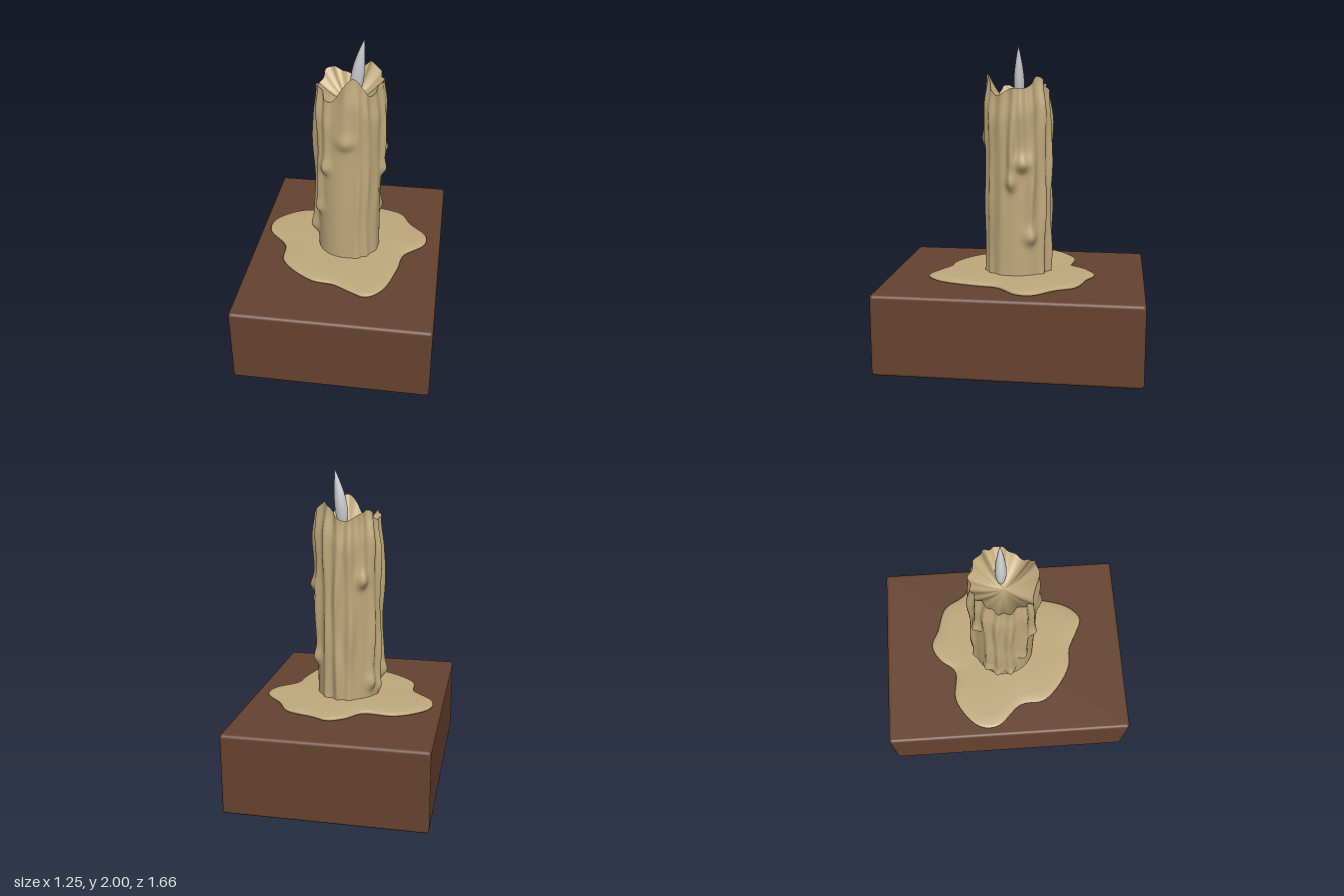
import * as THREE from 'three';
import { RoundedBoxGeometry } from 'three/addons/geometries/RoundedBoxGeometry.js';

const DEG = Math.PI / 180;
const { smoothstep, lerp } = THREE.MathUtils;

// Closed-ring surface: point(row, column) gives each vertex, rows run up or inward
function ringSurface(rows, cols, point) {
  const pos = [], index = [];
  for (let i = 0; i <= rows; i++)
    for (let j = 0; j < cols; j++) pos.push(...point(i, j));
  for (let i = 0; i < rows; i++)
    for (let j = 0; j < cols; j++) {
      const k = (j + 1) % cols;
      const a = i * cols + j, b = i * cols + k, c = a + cols, d = b + cols;
      index.push(a, b, d, a, d, c);
    }
  const g = new THREE.BufferGeometry();
  g.setAttribute('position', new THREE.Float32BufferAttribute(pos, 3));
  g.setIndex(index);
  g.computeVertexNormals();
  return g;
}

// Rim peaks and valleys: angle from the front towards +x, height
const RIM = [[-32, 1.66], [14, 1.825], [52, 1.69], [88, 1.74], [108, 1.74], [138, 1.81],
  [182, 1.7], [228, 1.765], [260, 1.69], [299, 1.745], [328, 1.66]];

function rimHeight(deg) {
  const a = deg > 328 ? deg - 360 : deg;
  for (let i = 0; i < RIM.length - 1; i++) {
    const [a0, y0] = RIM[i], [a1, y1] = RIM[i + 1];
    if (a <= a1) return lerp(y0, y1, smoothstep(a, a0, a1));
  }
  return 1.66;
}

// Wax runs: angle, height of the lower end, half width in degrees, thickness
const DRIPS = [
  [0, 1.38, 11, 0.022], [22, 0.4, 7, 0.018], [40, 0.4, 6, 0.016], [66, 0.4, 8, 0.01],
  [87, 1.12, 6, 0.036], [103, 1.24, 9, 0.04], [121, 0.77, 8, 0.034], [148, 0.4, 7, 0.03],
  [170, 0.4, 7, 0.035], [192, 0.4, 8, 0.032], [214, 1.3, 7, 0.03], [236, 0.62, 7, 0.03],
  [256, 0.58, 6, 0.03], [276, 0.66, 7, 0.036], [304, 0.86, 7, 0.03], [322, 1.18, 7, 0.026],
];

function waxRadius(deg, y, top) {
  let r = 0.203;
  for (const [a, end, w, amp] of DRIPS) {
    let d = ((deg - a + 540) % 360) - 180;
    d += 1.6 * Math.sin(y * 7 + a);
    const wide = w * (1 + 0.35 * Math.exp(-(((y - end - 0.04) / 0.07) ** 2)));
    const across = Math.exp(-((d / wide) ** 2));
    const run = smoothstep(y, end - 0.045, end + 0.03) * (0.72 + 0.2 * Math.sin(y * 11 + a));
    const bulb = 0.55 * Math.exp(-(((y - end - 0.03) / 0.055) ** 2));
    r += amp * across * (run + bulb);
  }
  // Thin towards the rim
  return r - 0.02 * smoothstep(y, top - 0.2, top);
}

const onCircle = (r, deg, y) => [0.008 + r * Math.sin(deg * DEG), y, r * Math.cos(deg * DEG)];

export function createModel() {
  const wax = new THREE.MeshStandardMaterial({ color: 0xc0a97c });
  wax.name = 'wax';
  const wood = new THREE.MeshStandardMaterial({ color: 0x65422e });
  wood.name = 'brown base';
  const pale = new THREE.MeshStandardMaterial({ color: 0xc9c9cc });
  pale.name = 'pale flame';

  const model = new THREE.Group();
  model.name = 'candle';
  const add = (name, geometry, material) => {
    const mesh = new THREE.Mesh(geometry, material);
    mesh.name = name;
    model.add(mesh);
    return mesh;
  };

  // Block base
  add('base', new RoundedBoxGeometry(1.25, 0.515, 1.66, 3, 0.022), wood).position.y = 0.2575;

  // Spilled wax puddle: one outline, shrunk ring by ring over a low dome
  const outline = [[-0.06, -0.455], [-0.15, -0.355], [-0.36, -0.357], [-0.55, -0.21], [-0.56, -0.08],
    [-0.42, 0.09], [-0.395, 0.26], [-0.18, 0.44], [-0.03, 0.465], [0.08, 0.52], [0.19, 0.56],
    [0.285, 0.48], [0.36, 0.25], [0.39, 0.09], [0.52, -0.05], [0.525, -0.15], [0.41, -0.28],
    [0.33, -0.405], [0.16, -0.465], [0.05, -0.51]];
  const curve = new THREE.CatmullRomCurve3(outline.map(([x, z]) => new THREE.Vector3(x, 0, z)), true);
  const edge = curve.getSpacedPoints(144);
  const dome = [[0.96, 0.514], [0.99, 0.519], [1, 0.527], [0.99, 0.534], [0.96, 0.54], [0.85, 0.545], [0.6, 0.549], [0, 0.552]];
  add('puddle', ringSurface(dome.length - 1, 144, (i, j) => [edge[j].x * dome[i][0], dome[i][1], edge[j].z * dome[i][0]]), wax);

  // Dripping candle body
  const COLS = 180, ROWS = 100, FLOOR = 1.6;
  add('candleBody', ringSurface(ROWS, COLS, (i, j) => {
    const deg = j * 360 / COLS, top = rimHeight(deg);
    const y = lerp(0.53, top, i / ROWS);
    return onCircle(waxRadius(deg, y, top), deg, y);
  }), wax);

  // Melted hollow inside the rim
  add('meltedHollow', ringSurface(16, COLS, (i, j) => {
    const deg = j * 360 / COLS, top = rimHeight(deg), s = 1 - i / 16;
    return onCircle(waxRadius(deg, top, top) * s, deg, lerp(FLOOR, top, s ** 1.7));
  }), wax);

  // Leaning flame: swept round sections from the hollow to a fine tip
  add('flame', ringSurface(24, 24, (i, j) => {
    const t = i / 24, a = j * 15 * DEG;
    const r = 0.036 * Math.sin(Math.PI * Math.min(1, 0.08 + 0.92 * t ** 0.8)) ** 0.9 * (1 - 0.15 * t);
    const x = 0.045 + 0.051 * t ** 1.6;
    return [x + 1.2 * r * Math.sin(a), lerp(1.62, 2, t), -0.015 + r * Math.cos(a)];
  }), pale);

  return model;
}
